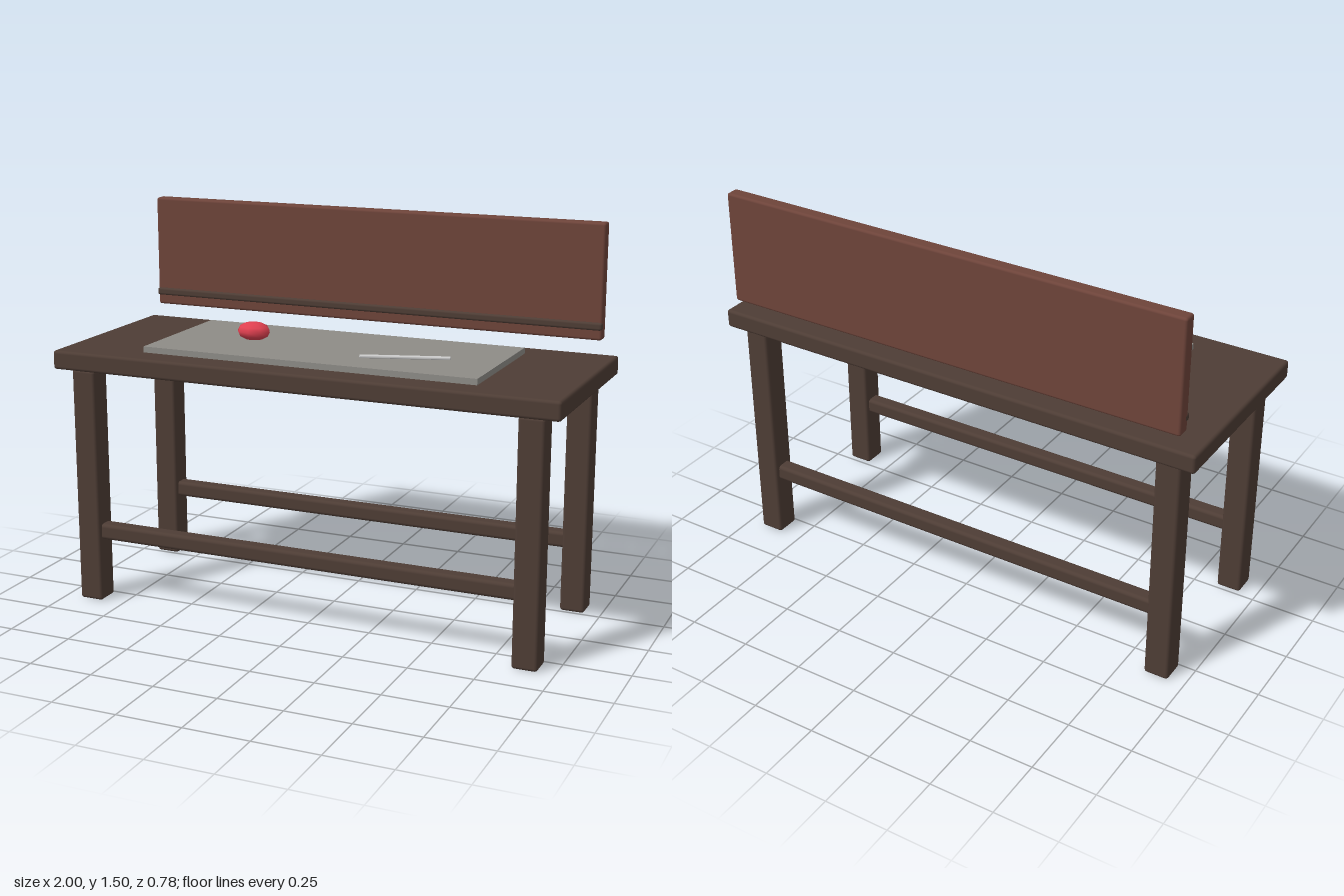
import * as THREE from 'three';
import { RoundedBoxGeometry } from 'three/addons/geometries/RoundedBoxGeometry.js';

export function createModel() {
  const model = new THREE.Group();
  model.name = 'workbench';

  const mat = (color) => new THREE.MeshStandardMaterial({ color });
  const wood = mat(0x4e3d35);
  const redWood = mat(0x6e443a);
  const grey = mat(0x8e8c87);
  const metal = mat(0xbcbcbc);
  const red = mat(0xe04050);

  const add = (name, geometry, material, x, y, z) => {
    const mesh = new THREE.Mesh(geometry, material);
    mesh.name = name;
    mesh.position.set(x, y, z);
    model.add(mesh);
    return mesh;
  };
  const block = (w, h, d, r) => new RoundedBoxGeometry(w, h, d, 2, r);
  const Z = 0.003; // table centre line in depth

  // Table: top, four legs and two long stretchers
  add('tableTop', block(2, 0.073, 0.776, 0.012), wood, 0, 0.964, Z);
  for (const front of [1, -1]) {
    const row = front > 0 ? 'front' : 'back';
    for (const side of [1, -1]) {
      add(row + (side > 0 ? 'LeftLeg' : 'RightLeg'), block(0.097, 0.927, 0.097, 0.012),
        wood, side * 0.888, 0.4635, Z + front * 0.31);
    }
    add(row + 'Stretcher', block(1.72, 0.062, 0.062, 0.014), wood, 0, 0.28, Z + front * 0.31);
  }

  // Upright board hovering behind the table, with a thin rail along its front
  add('backBoard', block(1.884, 0.442, 0.054, 0.01), redWood, 0, 1.281, -0.363);
  add('boardRail', block(1.886, 0.03, 0.032, 0.009), wood, 0, 1.114, -0.342);

  // Things lying on the table
  add('deskMat', new THREE.BoxGeometry(1.33, 0.024, 0.556), grey, 0, 1.0115, Z);

  const ball = add('flattenedBall', new THREE.SphereGeometry(1, 8, 6), red, -0.336, 1.058, Z);
  ball.scale.set(0.068, 0.036, 0.054);

  const stick = add('stick', block(0.334, 0.011, 0.021, 0.004), metal, 0.33, 1.036, 0.112);
  stick.rotation.y = 0.3;

  return model;
}
